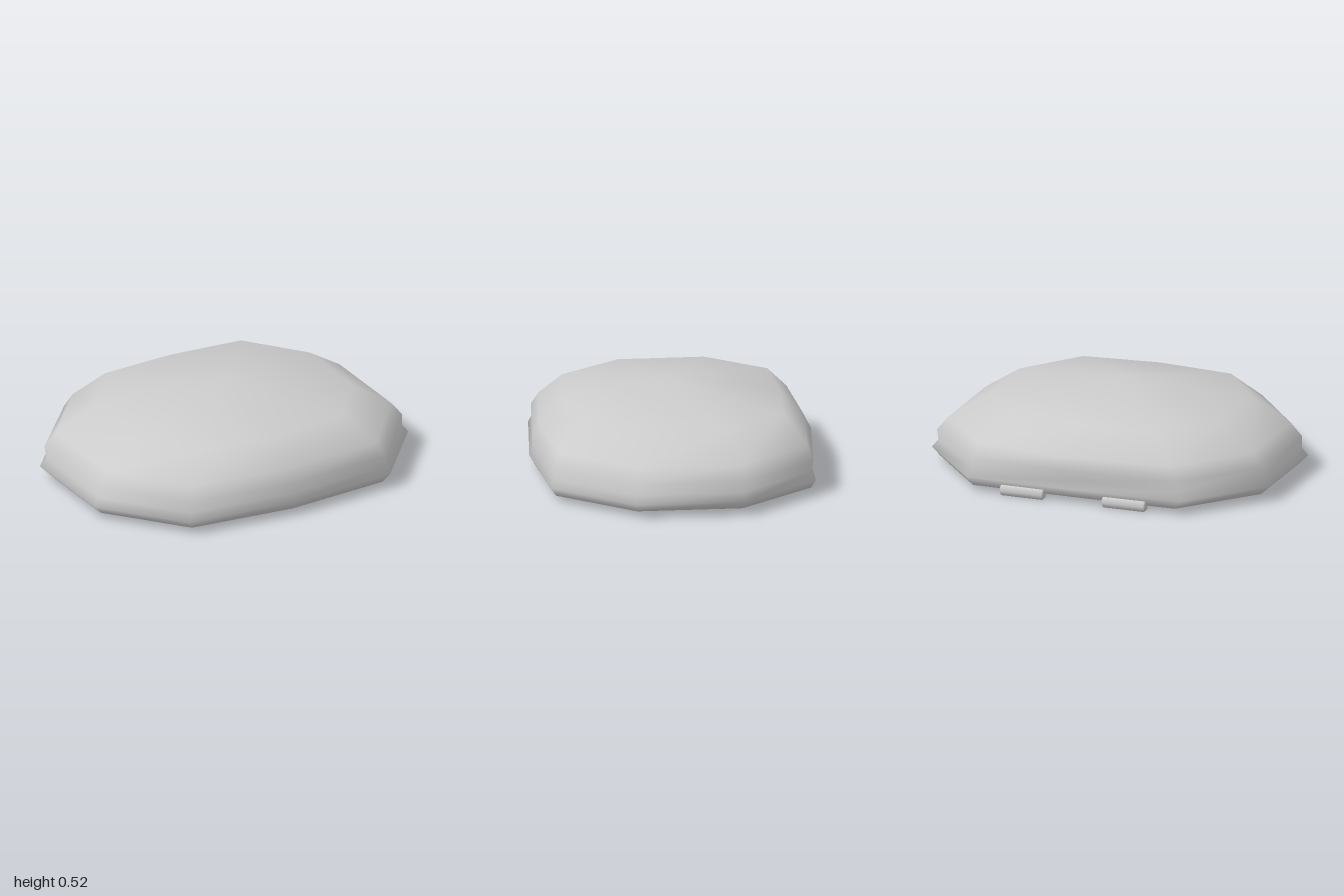
import * as THREE from 'three';

// Rings of the lid from the inner ceiling, round the lip, to the outer shoulder:
// y, half width, front z, back z, back corner z
const RINGS = [
  [0.345, 0.63, 0.53, -0.54, -0.51],
  [0.2, 0.83, 0.65, -0.645, -0.625],
  [0.037, 0.905, 0.712, -0.688, -0.683],
  [0.034, 0.95, 0.755, -0.73, -0.725],
  [0.085, 1.0, 0.785, -0.755, -0.747],
  [0.13, 0.965, 0.765, -0.732, -0.727],
  [0.195, 0.965, 0.77, -0.783, -0.735],
  [0.27, 0.905, 0.73, -0.747, -0.705],
  [0.415, 0.685, 0.6, -0.615, -0.585],
];
const INNER_PEAK = 0.45;
const OUTER_PEAK = 0.52;
const SIDES = 10;

// Ten-sided outline, running from the front centre round the left side
function ringPoints([y, w, front, back, backCorner]) {
  const half = [
    [0.64 * w, 0.925 * front],
    [w, 0.37 * front],
    [w, 0.42 * back],
    [0.63 * w, backCorner],
  ];
  const mirrored = half.map(([x, z]) => [-x, z]).reverse();
  return [[0, front], ...half, [0, back], ...mirrored].map(([x, z]) => [x, y, z]);
}

// Thick shell: inner peak, down the bowl, round the lip, up to the outer peak
function lidGeometry() {
  const positions = RINGS.flatMap(ringPoints).flat();
  const innerPeak = RINGS.length * SIDES;
  const outerPeak = innerPeak + 1;
  positions.push(0, INNER_PEAK, 0, 0, OUTER_PEAK, 0);
  const last = (RINGS.length - 1) * SIDES;
  const index = [];
  for (let i = 0; i < SIDES; i++) {
    const j = (i + 1) % SIDES;
    index.push(j, i, innerPeak, last + i, last + j, outerPeak);
    for (let base = 0; base < last; base += SIDES) {
      const a = base + i;
      const b = base + j;
      index.push(a, b, b + SIDES, a, b + SIDES, a + SIDES);
    }
  }
  const geometry = new THREE.BufferGeometry();
  geometry.setAttribute('position', new THREE.Float32BufferAttribute(positions, 3));
  geometry.setIndex(index);
  geometry.computeVertexNormals();
  return geometry;
}

export function createModel() {
  const group = new THREE.Group();
  group.name = 'domedLid';
  const material = new THREE.MeshStandardMaterial({ color: 0xcccccc });

  const lid = new THREE.Mesh(lidGeometry(), material);
  lid.name = 'lidShell';
  group.add(lid);

  // Pair of six-sided hinge barrels with softened ends under the back edge
  const profile = [[0, -0.129], [0.026, -0.129], [0.034, -0.121], [0.034, 0.121], [0.026, 0.129], [0, 0.129]];
  const barrel = new THREE.LatheGeometry(profile.map(([r, y]) => new THREE.Vector2(r, y)), 6);
  barrel.rotateZ(Math.PI / 2);
  for (const side of [-1, 1]) {
    const hinge = new THREE.Mesh(barrel, material);
    hinge.name = side > 0 ? 'leftHinge' : 'rightHinge';
    hinge.position.set(side * 0.302, 0.03, -0.728);
    group.add(hinge);
  }
  return group;
}
